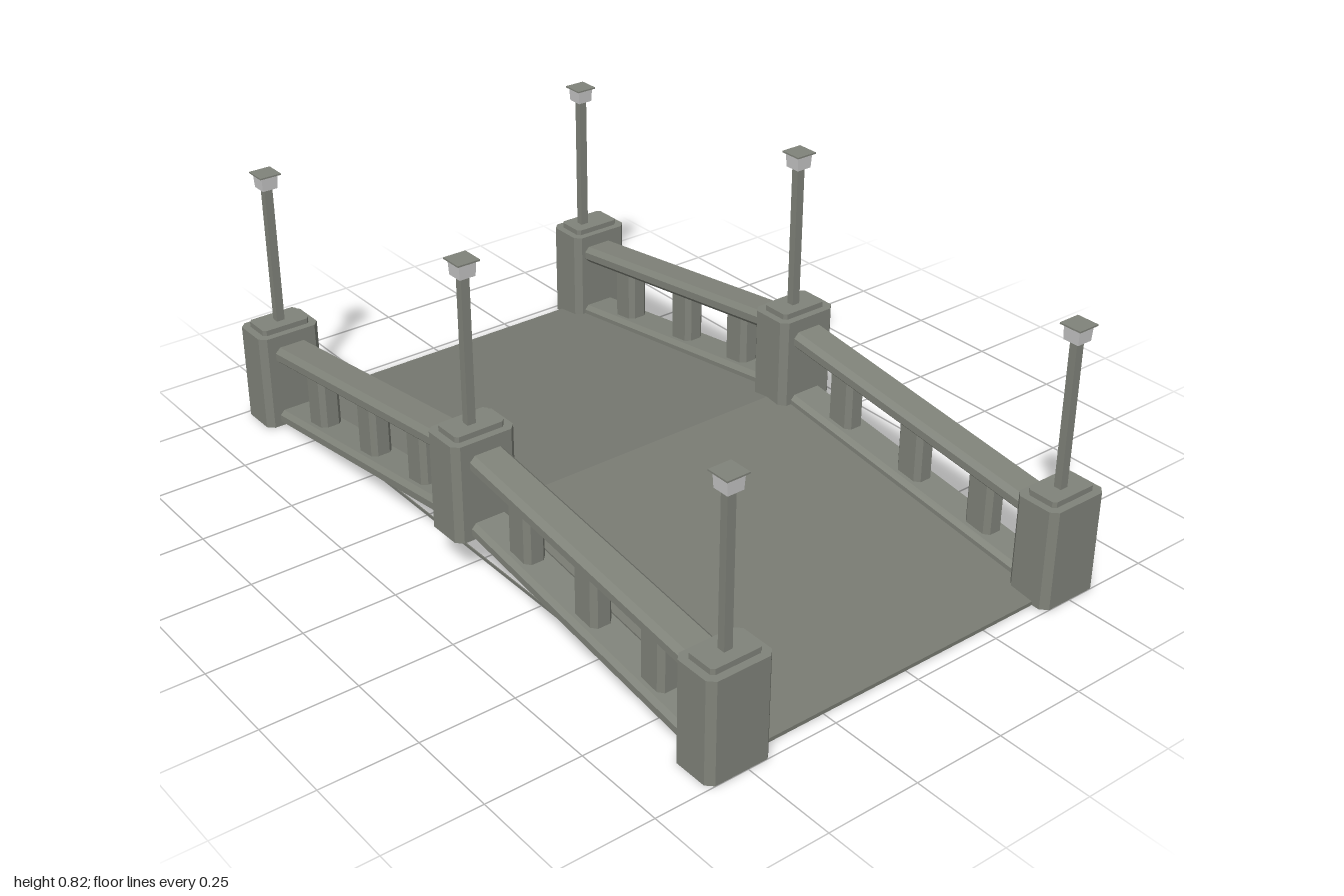
import * as THREE from 'three';

// Rectangle with its four corners cut off by c
function cutRect(w, h, c) {
  const a = w / 2, b = h / 2;
  return new THREE.Shape([
    [-a + c, -b], [a - c, -b], [a, -b + c], [a, b - c],
    [a - c, b], [-a + c, b], [-a, b - c], [-a, -b + c],
  ].map(([x, y]) => new THREE.Vector2(x, y)));
}

// Upright block with chamfered vertical edges, base at y = 0
function chamferedBlock(w, h, d, c) {
  const g = new THREE.ExtrudeGeometry(cutRect(w, d, c), { depth: h, bevelEnabled: false });
  return g.rotateX(-Math.PI / 2);
}

// Chamfered beam along x from x0 to x1, sheared so its ends stay vertical
function slopedBeam(x0, y0, x1, y1, h, d, c) {
  const g = new THREE.ExtrudeGeometry(cutRect(d, h, c), { depth: x1 - x0, bevelEnabled: false });
  g.rotateY(Math.PI / 2);
  const p = g.attributes.position, slope = (y1 - y0) / (x1 - x0);
  for (let i = 0; i < p.count; i++) p.setY(i, p.getY(i) + y0 + slope * p.getX(i));
  g.translate(x0, 0, 0);
  g.computeVertexNormals();
  return g;
}

export function createModel() {
  const stone = new THREE.MeshStandardMaterial({ color: 0x80837a });
  const paving = new THREE.MeshStandardMaterial({ color: 0x787a72 });
  const glass = new THREE.MeshStandardMaterial({ color: 0xc8c8c8 });
  stone.name = 'stone';
  paving.name = 'paving';
  glass.name = 'lampGlass';

  const model = new THREE.Group();
  model.name = 'bridge';
  const add = (parent, name, geometry, material, x = 0, y = 0, z = 0) => {
    const mesh = new THREE.Mesh(geometry, material);
    mesh.name = name;
    mesh.position.set(x, y, z);
    parent.add(mesh);
    return mesh;
  };

  // Peaked deck, a thin plate folded at the middle
  const deckShape = new THREE.Shape([
    [-0.96, 0], [0, 0.129], [0.96, 0], [0.96, 0.01], [0, 0.138], [-0.96, 0.01],
  ].map(([x, y]) => new THREE.Vector2(x, y)));
  const deck = new THREE.ExtrudeGeometry(deckShape, { depth: 1, bevelEnabled: false });
  add(model, 'deck', deck.translate(0, 0, -0.5), paving);

  // Thin straight ties along the foot of each side
  for (const z of [-0.5, 0.5]) {
    add(model, 'baseTie', new THREE.BoxGeometry(1.92, 0.008, 0.003), paving, 0, 0.004, z);
  }

  // Post with cap, pole and lantern
  function addPost(x, y0, y1, z, poleZ) {
    const post = new THREE.Group();
    post.name = 'lampPost';
    post.position.set(x, 0, z);
    model.add(post);
    const dz = poleZ - z;
    add(post, 'postBlock', chamferedBlock(0.125, y1 - y0, 0.178, 0.017), stone, 0, y0, 0);
    add(post, 'postCap', chamferedBlock(0.085, 0.015, 0.138, 0.008), stone, 0, y1, 0);
    add(post, 'pole', new THREE.BoxGeometry(0.021, 0.39, 0.023), stone, 0, y1 + 0.21, dz);
    const lantern = new THREE.CylinderGeometry(0.047 / Math.SQRT2, 0.043 / Math.SQRT2, 0.038, 4);
    lantern.rotateY(Math.PI / 4);
    const lamp = add(post, 'lantern', lantern.toNonIndexed(), glass, 0, y1 + 0.42, dz);
    lamp.geometry.computeVertexNormals();
    add(post, 'lanternRoof', new THREE.BoxGeometry(0.06, 0.004, 0.06), stone, 0, y1 + 0.441, dz);
  }

  const sides = [
    { postZ: [-0.523, -0.504, -0.503], railZ: [-0.512, -0.501], poleZ: -0.5 },
    { postZ: [0.518, 0.514, 0.518], railZ: [0.518, 0.511], poleZ: 0.518 },
  ];
  const balusterX = [[-0.718, -0.458, -0.219], [0.213, 0.47, 0.712]];

  for (const { postZ, railZ, poleZ } of sides) {
    addPost(-0.937, 0, 0.27, postZ[0], poleZ);
    addPost(-0.003, 0.11, 0.375, postZ[1], poleZ);
    addPost(0.937, 0, 0.27, postZ[2], poleZ);

    // Rails and balusters of the two sloping halves
    railZ.forEach((z, i) => {
      const beam = (yEnd, yMid, h, d, c) => (i === 0
        ? slopedBeam(-0.88, yEnd, -0.03, yMid, h, d, c)
        : slopedBeam(0.03, yMid, 0.88, yEnd, h, d, c));
      add(model, 'handRail', beam(0.211, 0.319, 0.048, 0.1, 0.014), stone, 0, 0, z);
      add(model, 'bottomRail', beam(0.023, 0.137, 0.043, 0.106, 0.012), stone, 0, 0, z);
      for (const x of balusterX[i]) {
        const y = 0.141 - 0.134 * Math.abs(x);
        add(model, 'baluster', chamferedBlock(0.082, 0.182, 0.06, 0.013), stone, x, y, z);
      }
    });
  }
  return model;
}
